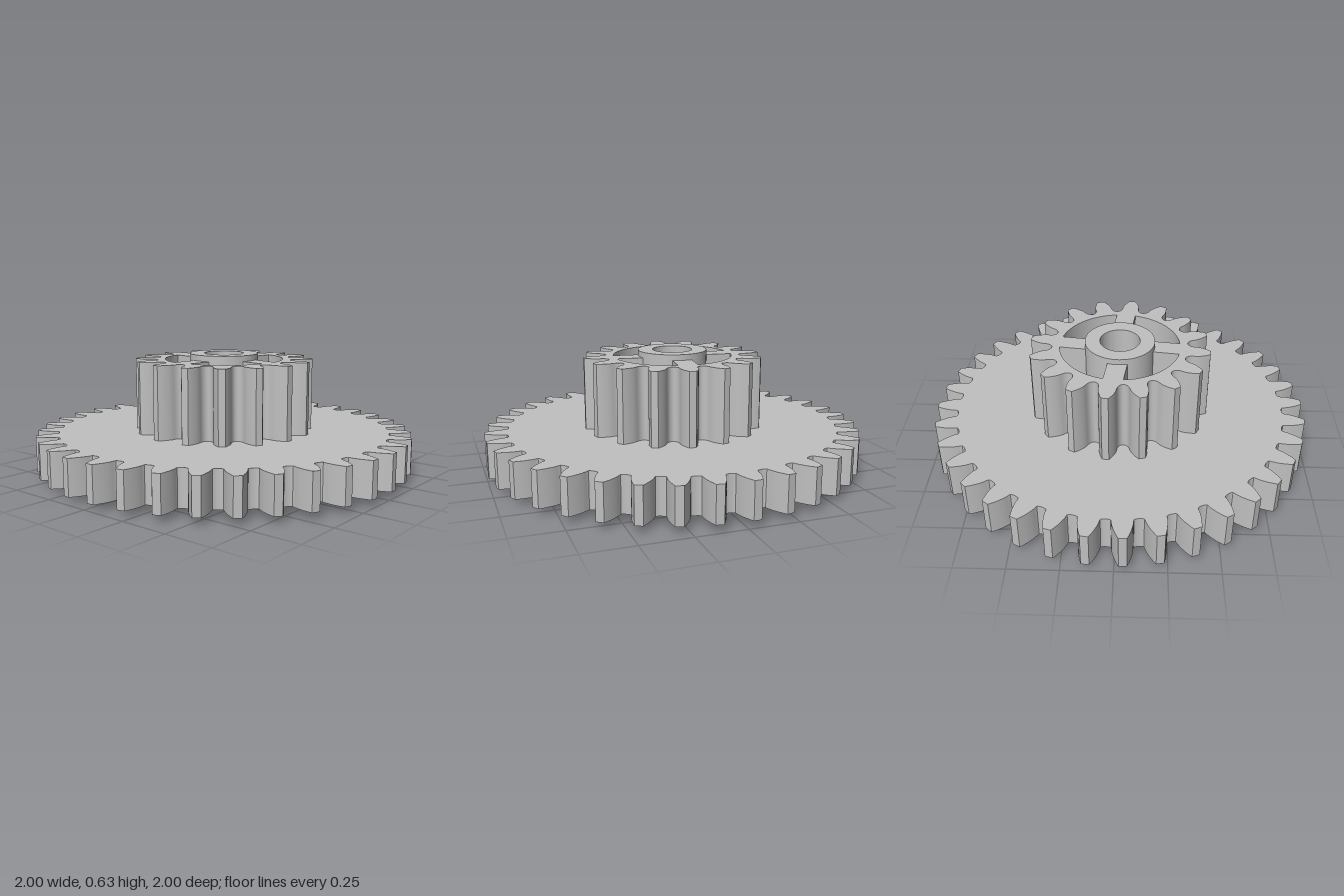
import * as THREE from 'three';
import { toCreasedNormals } from 'three/addons/utils/BufferGeometryUtils.js';

const MODULE = 2 / 38; // tooth size shared by both gears
const PRESSURE = THREE.MathUtils.degToRad(20);
const BORE = 0.105, HUB = 0.183;
const inv = (a) => Math.tan(a) - a;
const polar = (r, a) => new THREE.Vector2(r * Math.cos(a), r * Math.sin(a));

// Outline of an involute spur gear with rounded tooth gaps
function gearShape(teeth, phaseDeg) {
  const pitch = MODULE * teeth / 2, tip = pitch + MODULE, root = pitch - 1.25 * MODULE;
  const base = pitch * Math.cos(PRESSURE);
  const halfAngle = (r) => Math.PI / (2 * teeth) + inv(PRESSURE) - inv(Math.acos(Math.min(1, base / r)));
  const step = 2 * Math.PI / teeth;
  const gap = step / 2 - halfAngle(base);

  // One side of a tooth, from gap centre to tip centre, as [radius, angle from tooth centre]
  const side = [];
  for (let i = 0; i < 5; i++) {
    const t = i / 5 * Math.PI / 2;
    side.push([base - (base - root) * Math.cos(t), step / 2 - gap * Math.sin(t)]);
  }
  for (let i = 0; i <= 6; i++) {
    const r = base + (tip - base) * i / 6;
    side.push([r, halfAngle(r)]);
  }

  const points = [];
  for (let k = 0; k < teeth; k++) {
    const centre = THREE.MathUtils.degToRad(phaseDeg) + k * step;
    side.forEach(([r, a]) => points.push(polar(r, centre - a)));
    points.push(polar(tip, centre));
    side.slice(1).reverse().forEach(([r, a]) => points.push(polar(r, centre + a)));
  }
  const shape = new THREE.Shape(points);
  shape.holes.push(new THREE.Path().absarc(0, 0, (BORE + HUB) / 2, 0, Math.PI * 2, true));
  return shape;
}

// Quarter-ring pocket between two neighbouring spokes
function pocket(spokeAngle) {
  const outer = 0.315, inner = 0.176, lead = 0.065, trail = 0.037, n = 20;
  const arc = (r) => {
    const from = spokeAngle + Math.asin(lead / r);
    const to = spokeAngle + Math.PI / 2 - Math.asin(trail / r);
    return Array.from({ length: n + 1 }, (_, i) => polar(r, from + (to - from) * i / n));
  };
  return new THREE.Path([...arc(outer), ...arc(inner).reverse()]);
}

function extrudeUp(shape, y0, y1) {
  const g = new THREE.ExtrudeGeometry(shape, { depth: y1 - y0, bevelEnabled: false, curveSegments: 32 });
  g.rotateX(-Math.PI / 2);
  g.translate(0, y0, 0);
  return toCreasedNormals(g, 0.5);
}

export function createModel() {
  const group = new THREE.Group();
  const grey = new THREE.MeshStandardMaterial({ color: 0xc0c0c0 });
  grey.name = 'grey';
  const add = (name, geometry) => {
    const mesh = new THREE.Mesh(geometry, grey);
    mesh.name = name;
    group.add(mesh);
  };

  // Wide lower gear
  add('largeGear', extrudeUp(gearShape(36, 2.4), 0.035, 0.22));

  // Tall upper gear with four pockets leaving spokes
  const pinion = gearShape(16, 15.3);
  for (let k = 0; k < 4; k++) pinion.holes.push(pocket(THREE.MathUtils.degToRad(-7.2 + 90 * k)));
  add('smallGear', extrudeUp(pinion, 0.22, 0.6));

  // Hub tube through both gears
  const profile = [[BORE, 0], [HUB, 0], [HUB, 0.63], [BORE, 0.63], [BORE, 0]];
  const hub = new THREE.LatheGeometry(profile.map(([x, y]) => new THREE.Vector2(x, y)), 64);
  add('hub', toCreasedNormals(hub, 0.5));

  return group;
}
